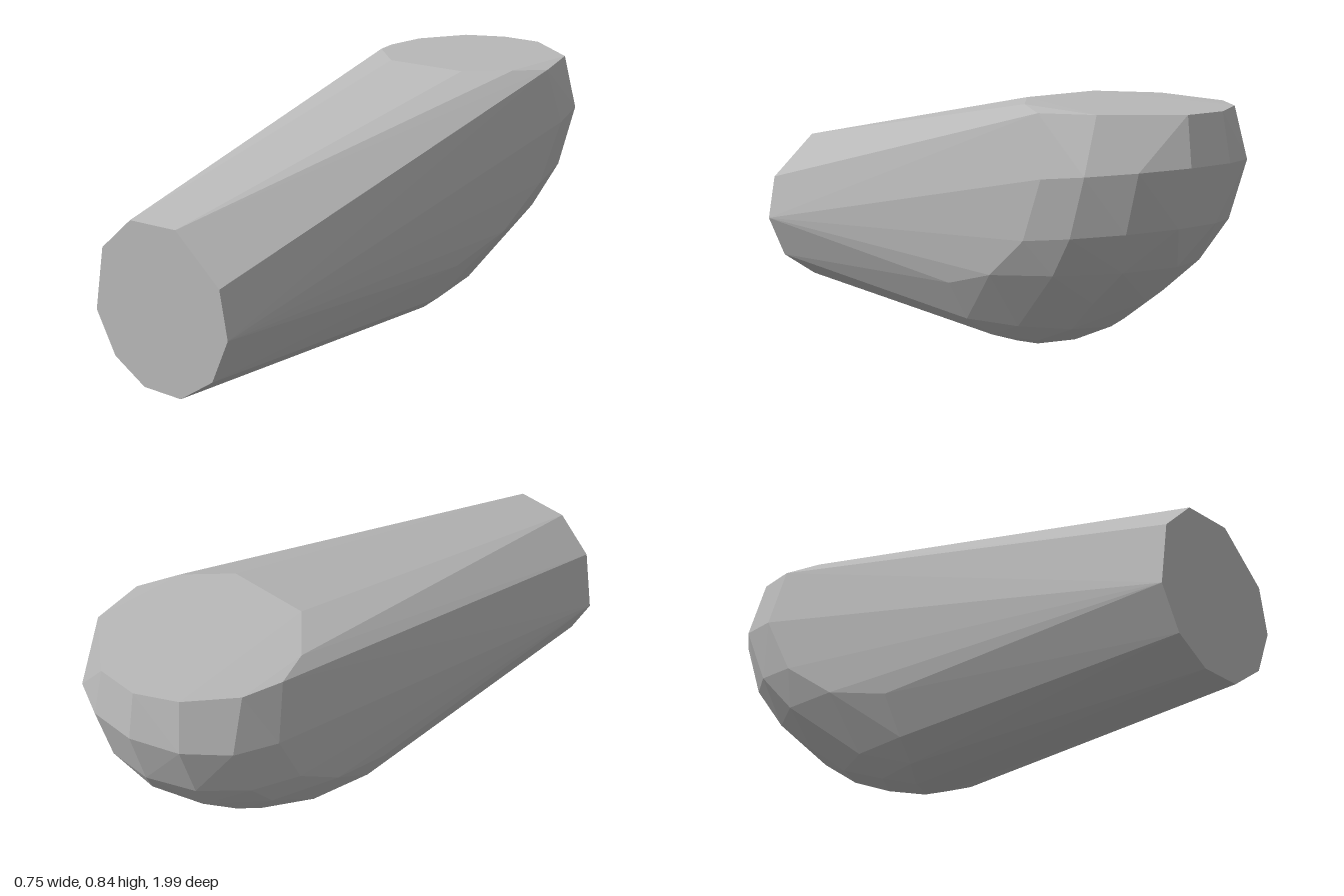
import * as THREE from 'three';
import { ConvexGeometry } from 'three/addons/geometries/ConvexGeometry.js';

export function createModel() {
  const group = new THREE.Group();
  const grey = new THREE.MeshStandardMaterial({ color: 0xb8b8b8 });
  grey.name = 'grey';
  const points = [];
  const add = (x, y, z) => points.push(new THREE.Vector3(x, y, z));

  // flat front end: ten-sided outline (x, y)
  [[-0.11, 0.582], [0.08, 0.588], [0.253, 0.44], [0.282, 0.285], [0.215, 0.137],
    [0.08, 0.047], [-0.075, 0.047], [-0.2, 0.12], [-0.275, 0.258], [-0.237, 0.47]]
    .forEach(([x, y]) => add(x, y, 1));

  // flat top of the rounded end (x, y, z)
  [[-0.14, 0.843, -0.33], [0.16, 0.843, -0.34], [0.285, 0.84, -0.47], [0.345, 0.828, -0.6],
    [0.29, 0.836, -0.8], [0.07, 0.834, -0.96], [-0.08, 0.834, -0.96], [-0.21, 0.836, -0.89],
    [-0.32, 0.832, -0.74], [-0.346, 0.828, -0.6], [-0.3, 0.838, -0.48]]
    .forEach(([x, y, z]) => add(x, y, z));

  // rounded end: half rings [half width, side y, back y, side z, back z, steps]
  [[0.377, 0.635, 0.68, -0.65, -1, 7],
    [0.36, 0.43, 0.49, -0.55, -0.95, 7],
    [0.335, 0.29, 0.35, -0.36, -0.86, 6],
    [0.308, 0.222, 0.22, -0.12, -0.73, 6],
    [0.232, 0.09, 0.11, -0.12, -0.57, 6],
    [0.148, 0.028, 0.035, -0.15, -0.4, 4]]
    .forEach(([w, ys, yb, zs, zb, steps]) => {
      for (let i = 0; i <= steps; i++) {
        const a = Math.PI * i / steps, s = Math.sin(a);
        add(w * Math.cos(a), ys + (yb - ys) * s, zs + (zb - zs) * s);
      }
    });

  // lowest facet
  [[-0.05, 0, -0.22], [0.08, 0.006, -0.2], [0.05, 0.004, -0.27]].forEach((p) => add(...p));

  const body = new THREE.Mesh(new ConvexGeometry(points), grey);
  body.name = 'facetedBody';
  group.add(body);
  return group;
}
